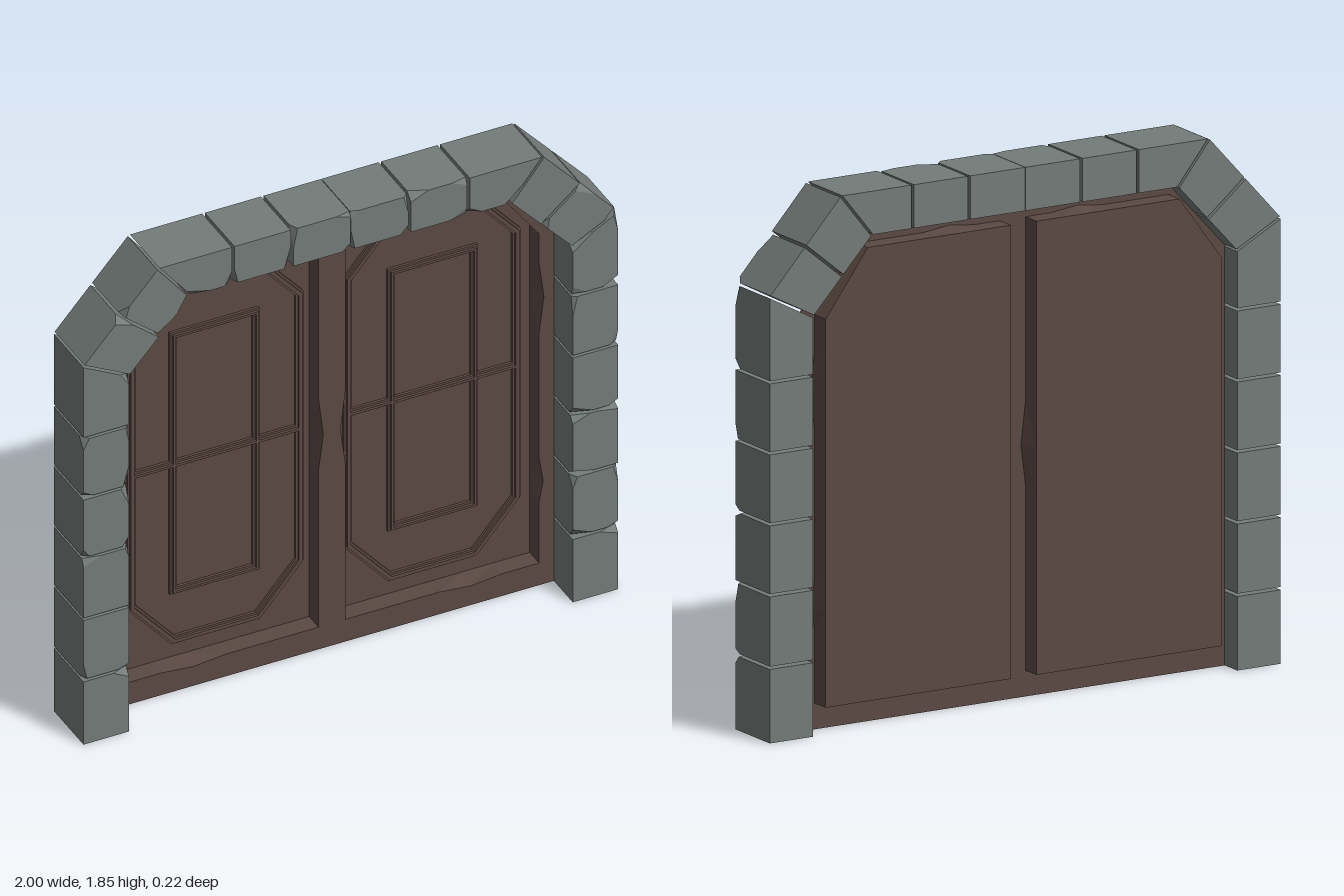
import * as THREE from 'three';
import { ConvexGeometry } from 'three/addons/geometries/ConvexGeometry.js';

const DEPTH = 0.11;      // half depth of the stone arch
const FRAME_Z = -0.03;   // front sheet of the door frame
const FLOOR_Z = -0.1;    // recessed door leaves

function seeded(seed) {
  return () => {
    seed = (seed * 16807) % 2147483647;
    return seed / 2147483647;
  };
}

const toShape = (pts) => new THREE.Shape(pts.map(([x, y]) => new THREE.Vector2(x, y)));
const toPath = (pts) => new THREE.Path(pts.map(([x, y]) => new THREE.Vector2(x, y)));

// Box outline with optional cut corners, pulled in by t
function outline(x0, x1, y0, y1, cut, t = 0) {
  x0 += t; x1 -= t; y0 += t; y1 -= t;
  if (!cut) return [[x0, y0], [x1, y0], [x1, y1], [x0, y1]];
  const cx = cut - t * 0.55, cy = cx * 1.15;
  return [[x0 + cx, y0], [x1 - cx, y0], [x1, y0 + cy], [x1, y1 - cy],
    [x1 - cx, y1], [x0 + cx, y1], [x0, y1 - cy], [x0, y0 + cy]];
}

// Strip of walls joining two outlines with equal point counts
function wallGeometry(front, back, zf, zb) {
  const pos = [];
  front.forEach((a, i) => {
    const j = (i + 1) % front.length;
    const p = [...a, zf], q = [...front[j], zf], r = [...back[j], zb], s = [...back[i], zb];
    pos.push(...p, ...q, ...r, ...p, ...r, ...s);
  });
  const g = new THREE.BufferGeometry();
  g.setAttribute('position', new THREE.Float32BufferAttribute(pos, 3));
  g.computeVertexNormals();
  return g;
}

// Stone block from a four-sided face, with some front corners chipped off
function stoneGeometry(quad, rand) {
  const pts = [];
  quad.forEach(([x, y], i) => {
    pts.push(new THREE.Vector3(x, y, -DEPTH));
    const corner = new THREE.Vector3(x, y, DEPTH);
    if (y < 0.01 || rand() < 0.35) {
      pts.push(corner);
      return;
    }
    const long = 0.03 + rand() * 0.06, short = 0.012 + rand() * 0.02;
    const swap = rand() < 0.5;
    [quad[(i + 1) % 4], quad[(i + 3) % 4]].forEach(([nx, ny], k) => {
      const dir = new THREE.Vector3(nx - x, ny - y, 0).normalize();
      pts.push(corner.clone().addScaledVector(dir, (k === 0) === swap ? long : short));
    });
    pts.push(new THREE.Vector3(x, y, DEPTH - 0.01 - rand() * 0.025));
  });
  return new ConvexGeometry(pts);
}

export function createModel() {
  const model = new THREE.Group();
  const stone = new THREE.MeshStandardMaterial({ color: 0x747c79 });
  stone.name = 'grey stone';
  const wood = new THREE.MeshStandardMaterial({ color: 0x5b4943, side: THREE.DoubleSide });
  wood.name = 'dark brown wood';

  const add = (parent, name, geometry, material, z = 0) => {
    const mesh = new THREE.Mesh(geometry, material);
    mesh.name = name;
    mesh.position.z = z;
    parent.add(mesh);
  };

  // Stone arch: joints run from the foot to the middle of the lintel
  const arch = new THREE.Group();
  arch.name = 'stoneArch';
  model.add(arch);
  const joints = [
    ...[0, 0.26, 0.51, 0.755, 1.0, 1.245].map((y) => [[1, y], [0.83, y]]),
    [[1, 1.54], [0.83, 1.45]], [[0.86, 1.695], [0.715, 1.575]], [[0.72, 1.85], [0.6, 1.7]],
    ...[0.44, 0.22, 0].map((x) => [[x, 1.85], [x, 1.7]]),
  ];
  const rand = seeded(4711);
  const toward = (a, b, d) => {
    const len = Math.hypot(b[0] - a[0], b[1] - a[1]);
    return [a[0] + (b[0] - a[0]) * d / len, a[1] + (b[1] - a[1]) * d / len];
  };
  for (const side of [1, -1]) {
    for (let i = 0; i < joints.length - 1; i++) {
      const [oa, ia] = joints[i], [ob, ib] = joints[i + 1];
      const ga = i === 0 ? 0 : 0.005, gb = i === joints.length - 2 ? 0.001 : 0.005;
      const quad = [toward(oa, ob, ga), toward(ia, ib, ga), toward(ib, ia, gb), toward(ob, oa, gb)];
      add(arch, 'stoneBlock', stoneGeometry(quad.map(([x, y]) => [x * side, y]), rand), stone);
    }
  }

  // Door: a thin frame with two leaves pressed back into it
  const door = new THREE.Group();
  door.name = 'door';
  model.add(door);
  const frame = toShape([[-0.832, 0], [0.832, 0], [0.832, 1.45], [0.605, 1.702], [-0.605, 1.702], [-0.832, 1.45]]);

  // Worn places bulge the front rim: x, y, bulge x, bulge y
  const rim = [
    [0.05, 0.09, 0, 0], [0.4, 0.09, 0, 0], [0.52, 0.09, 0, -0.012], [0.64, 0.09, 0, 0],
    [0.775, 0.09, 0, 0], [0.775, 0.34, 0, 0], [0.775, 0.42, 0.015, 0], [0.775, 0.52, 0, 0],
    [0.775, 1.03, 0, 0], [0.775, 1.17, 0.018, 0], [0.775, 1.31, 0, 0],
    [0.775, 1.43, 0, 0], [0.61, 1.655, 0, 0], [0.35, 1.655, 0, 0], [0.25, 1.655, 0, 0.012],
    [0.15, 1.655, 0, 0], [0.05, 1.655, 0, 0],
    [0.05, 1.02, 0, 0], [0.05, 0.87, -0.018, 0], [0.05, 0.73, 0, 0],
  ];

  for (const side of [1, -1]) {
    const flip = (pts) => pts.map(([x, y]) => [x * side, y]);
    const front = flip(rim.map(([x, y, dx, dy]) => [x + dx, y + dy]));
    const back = flip(rim);
    frame.holes.push(toPath(front));

    const leaf = new THREE.Group();
    leaf.name = side > 0 ? 'leftLeaf' : 'rightLeaf';
    door.add(leaf);
    add(leaf, 'leafRim', wallGeometry(front, back, FRAME_Z, FLOOR_Z), wood);
    add(leaf, 'leafPanel', new THREE.ShapeGeometry(toShape(back)), wood, FLOOR_Z);

    // Stepped mouldings: a wide low strip carrying a narrow higher one
    for (const [inset, height] of [[0, 0.01], [0.008, 0.02]]) {
      const ring = (name, box, cut, width) => {
        const shape = toShape(flip(outline(...box, cut, inset)));
        shape.holes.push(toPath(flip(outline(...box, cut, width - inset))));
        add(leaf, name, new THREE.ExtrudeGeometry(shape, { depth: height, bevelEnabled: false }), wood, FLOOR_Z);
      };
      ring('octagonMoulding', [0.075, 0.735, 0.148, 1.62], 0.165, 0.03);
      ring('rectangleMoulding', [0.24, 0.575, 0.35, 1.415], 0, 0.025);
      const bar = new THREE.BoxGeometry(0.63, 0.026 - inset * 2, height);
      bar.translate(0.405 * side, 0.878, height / 2);
      add(leaf, 'crossBar', bar, wood, FLOOR_Z);
    }
  }
  add(door, 'doorFrame', new THREE.ShapeGeometry(frame), wood, FRAME_Z);
  return model;
}
